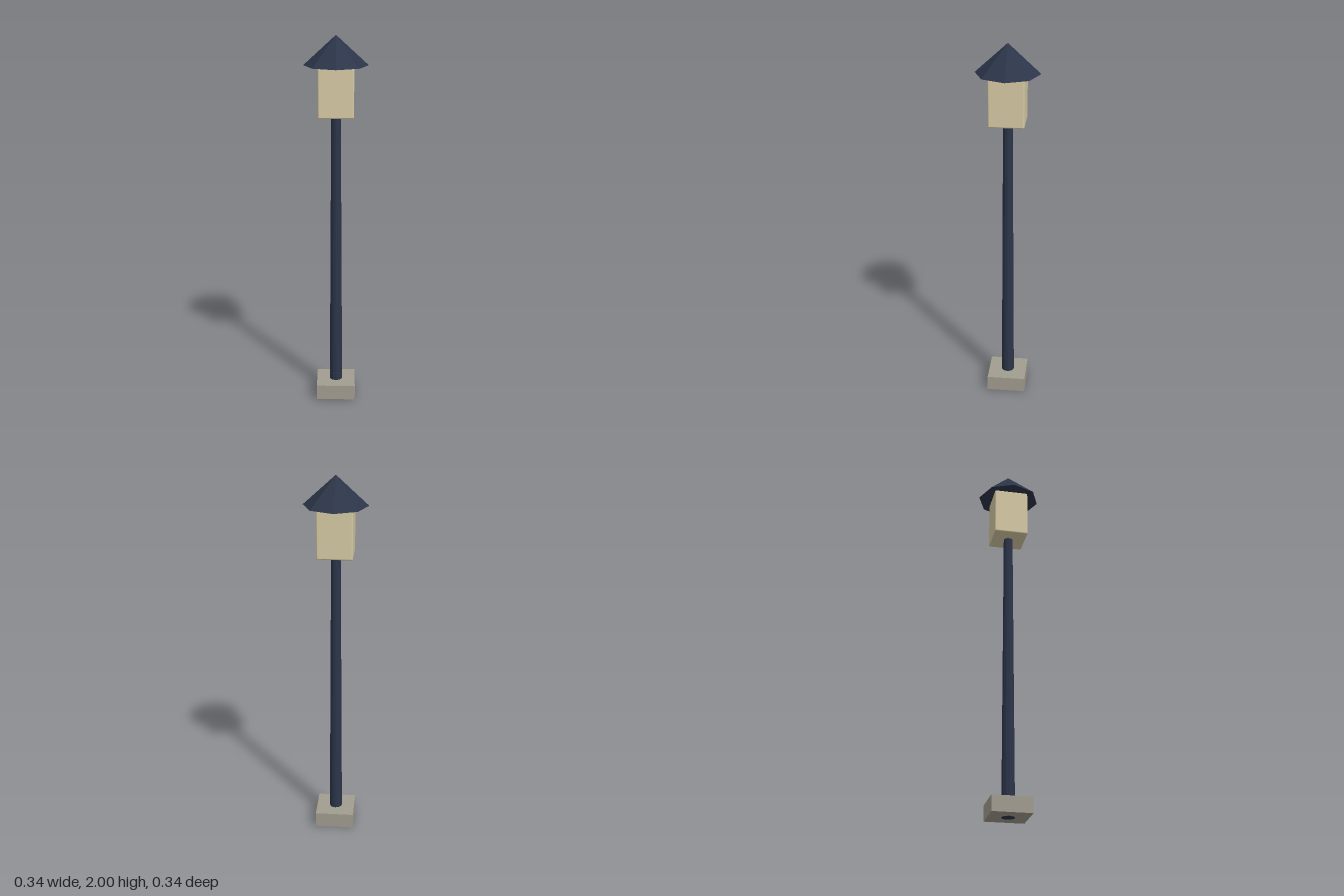
import * as THREE from 'three';
import { RoundedBoxGeometry } from 'three/addons/geometries/RoundedBoxGeometry.js';

function material(name, color, flatShading = false) {
  const m = new THREE.MeshStandardMaterial({ color, flatShading });
  m.name = name;
  return m;
}

export function createModel() {
  const group = new THREE.Group();
  group.name = 'streetLamp';

  const stone = material('stone', 0xa29d90);
  const paintedMetal = material('paintedMetal', 0x2c3549, true);
  const glow = material('lanternGlass', 0xd8cca6);

  function add(name, geometry, mat, y) {
    const mesh = new THREE.Mesh(geometry, mat);
    mesh.name = name;
    mesh.position.y = y;
    group.add(mesh);
  }

  // Square footing; the post's foot shows through its underside
  add('base', new THREE.BoxGeometry(0.21, 0.083, 0.21), stone, 0.0435);

  // Tapered post
  add('post', new THREE.CylinderGeometry(0.025, 0.035, 1.6, 12), paintedMetal, 0.8);

  // Softly bevelled lantern
  add('lantern', new RoundedBoxGeometry(0.186, 0.266, 0.186, 2, 0.008), glow, 1.717);

  // Eight-sided roof with corners on the axes
  add('roof', new THREE.ConeGeometry(0.168, 0.154, 8), paintedMetal, 1.923);

  return group;
}
